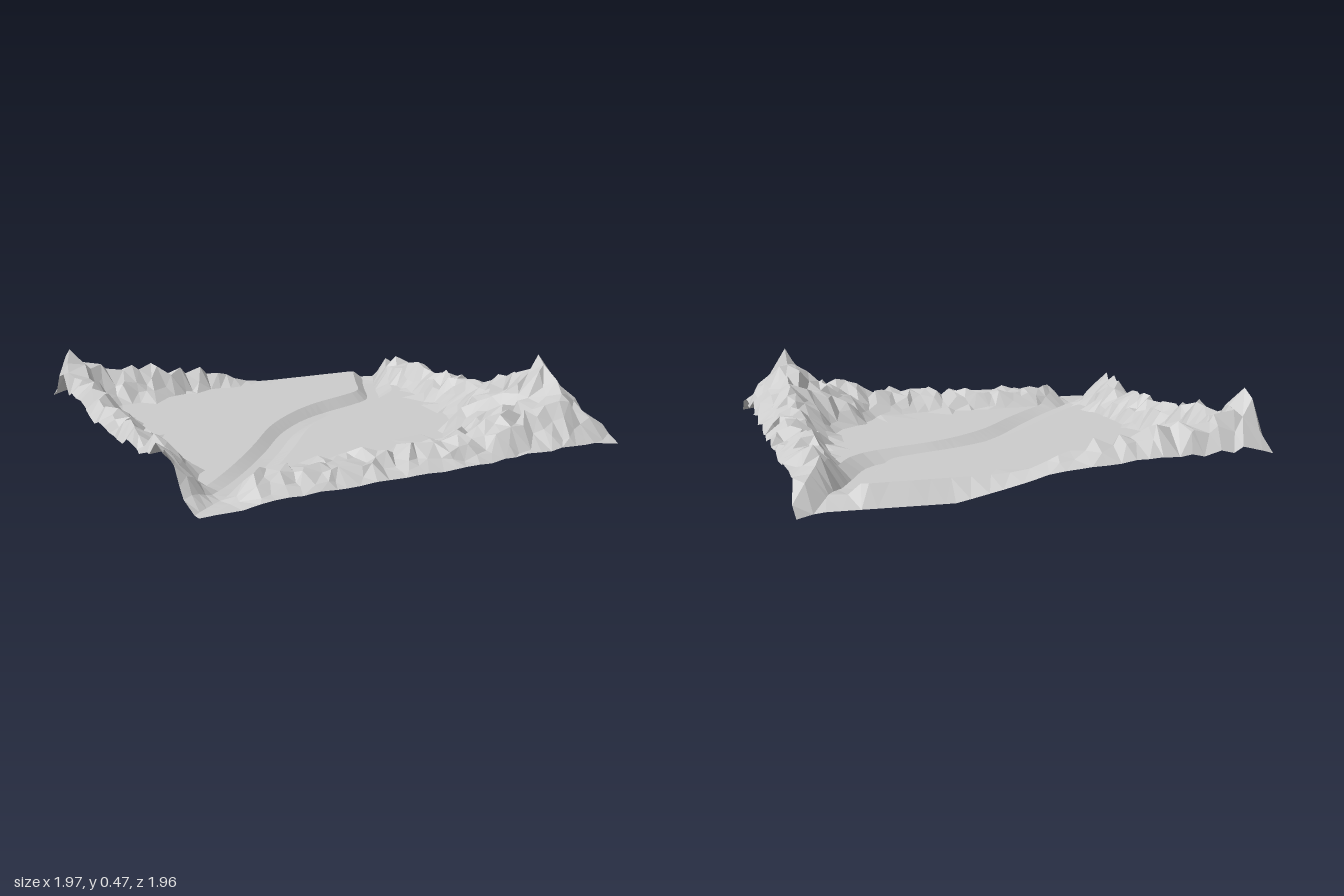
import * as THREE from 'three';

const X0 = -0.97, X1 = 0.985, Z0 = -0.985, Z1 = 0.975;

let seed = 7;
const rand = () => {
  seed = (seed * 16807) % 2147483647;
  return seed / 2147483647;
};
const jitter = (a) => (rand() * 2 - 1) * a;
const clamp01 = (t) => Math.min(1, Math.max(0, t));

// Linear interpolation through [position, value] pairs
function table(pairs, t) {
  if (t <= pairs[0][0]) return pairs[0][1];
  for (let i = 1; i < pairs.length; i++) {
    const [a, va] = pairs[i - 1], [b, vb] = pairs[i];
    if (t <= b) return va + ((vb - va) * (t - a)) / (b - a);
  }
  return pairs[pairs.length - 1][1];
}

// Upper river bank, from the back right corner to the front left one
const bank = new THREE.CatmullRomCurve3([
  [0.82, -1.0], [0.78, -0.92], [0.71, -0.8], [0.62, -0.62], [0.53, -0.45], [0.4, -0.38], [0.2, -0.3],
  [0.03, -0.2], [-0.18, -0.02], [-0.4, 0.25], [-0.6, 0.48], [-0.8, 0.68], [-1.0, 0.84],
].map(([x, z]) => new THREE.Vector3(x, 0, z)));
const bankSamples = Array.from({ length: 161 }, (_, i) => {
  const p = bank.getPointAt(i / 160), t = bank.getTangentAt(i / 160);
  return { x: p.x, z: p.z, nx: t.z, nz: -t.x };
});

// Signed distance from the upper bank, positive towards the front right
function riverDistance(x, z) {
  let best = Infinity, d = 0;
  for (const s of bankSamples) {
    const dx = x - s.x, dz = z - s.z, q = dx * dx + dz * dz;
    if (q < best) {
      best = q;
      d = Math.sign(dx * s.nx + dz * s.nz) * Math.sqrt(q);
    }
  }
  return d;
}
const riverLines = [-0.025, 0.025, 0.085, 0.155];
const riverBed = [[-0.97, 0.1], [-0.82, 0.094], [-0.7, 0.086], [-0.4, 0.075], [0, 0.066], [0.2, 0.058], [0.9, 0.053]];

// Mountain rim on each side: crest height, crest inset, foot width, edge share
const rims = [
  { // left
    along: (x, z) => z, inset: (x) => x - X0, edge: 0.5,
    crest: [[-0.5, 0.06], [0.3, 0.05], [0.48, 0]],
    height: [[-0.98, 0.13], [-0.84, 0.37], [-0.7, 0.26], [-0.5, 0.3], [-0.3, 0.23], [0, 0.22], [0.3, 0.24],
      [0.5, 0.28], [0.65, 0.27], [0.78, 0.2], [0.87, 0.105]],
    width: [[-0.8, 0.22], [0.4, 0.19], [0.55, 0.15], [0.8, 0.12]],
  },
  { // back
    along: (x) => x, inset: (x, z) => z - Z0, crest: [[0, 0.1]], edge: 0.25,
    height: [[-0.97, 0.22], [-0.92, 0.36], [-0.75, 0.27], [-0.5, 0.26], [-0.3, 0.22], [-0.1, 0.17], [0.05, 0.12], [0.2, 0.1]],
    width: [[-0.9, 0.24], [-0.5, 0.21], [-0.2, 0.14], [0.1, 0.11]],
  },
  { // right
    along: (x, z) => z, inset: (x) => X1 - x, edge: 0.45,
    crest: [[0.2, 0.13], [0.6, 0.18]],
    height: [[-0.98, 0.05], [-0.85, 0.18], [-0.6, 0.21], [-0.4, 0.21], [0, 0.23], [0.2, 0.26], [0.4, 0.32],
      [0.64, 0.37], [0.8, 0.33], [0.98, 0.13]],
    width: [[-0.8, 0.2], [-0.2, 0.25], [0.2, 0.34], [0.33, 0.38], [0.4, 0.53], [0.6, 0.62]],
  },
  { // front
    along: (x) => x, inset: (x, z) => Z1 - z, crest: [[0, 0.16]], edge: 0.2,
    height: [[-0.8, 0.1], [-0.7, 0.19], [-0.4, 0.21], [0, 0.2], [0.3, 0.23], [0.5, 0.26], [0.8, 0.33], [0.98, 0.14]],
    width: [[-0.8, 0.22], [-0.4, 0.31], [0.1, 0.29], [0.3, 0.36], [0.5, 0.46]],
  },
];

// Summits: x, z, added height, radius
const summits = [[0.8, 0.64, 0.075, 0.17], [-0.92, -0.84, 0.04, 0.1], [-0.9, -0.5, 0.03, 0.09]];

function rimHeight(x, z) {
  let top = 0;
  for (const r of rims) {
    const t = r.along(x, z), u = Math.max(0, r.inset(x, z));
    const h = table(r.height, t) - 0.105, w = table(r.width, t), crest = table(r.crest, t);
    const share = u < crest
      ? r.edge + (1 - r.edge) * (u / crest)
      : clamp01(1 - (u - crest) / (w - crest)) ** 0.72;
    top = Math.max(top, h * share);
  }
  for (const [sx, sz, h, radius] of summits) top += h * clamp01(1 - Math.hypot(x - sx, z - sz) / radius);
  return top;
}

// True on the rim and just past its foot
const nearRim = (x, z) => rimHeight(x, z) + rimHeight(x * 1.06, z * 1.06) > 0.003;

function groundHeight(x, z) {
  const d = riverDistance(x, z);
  const plain = 0.104 - 0.004 * x;
  const wet = table([[-0.025, 0], [0.025, 1], [0.085, 1], [0.155, 0]], d);
  const pass = table([[0.02, 0], [0.08, 1], [0.155, 0]], d);
  const rim = rimHeight(x, z) * (1 - 0.85 * pass);
  let y = plain + (table(riverBed, x) - plain) * wet + rim;
  y += jitter(0.031) * clamp01((rim - 0.012) / 0.07);
  // Sagging lip along the right half of the back edge
  const lip = table([[0.9, 0.02], [0.98, 0]], x);
  const sag = clamp01(x / 0.38) * clamp01(1 - (z - Z0) / 0.09);
  return y + (lip - y) * sag;
}

// Scattered ground points: edges, lip, summits, river lines, dense rim, sparse plain
function groundPoints() {
  const pts = summits.map(([x, z]) => [x, z]);
  const n = 32;
  for (let i = 0; i < n; i++) {
    const t = (i + (i ? jitter(0.25) : 0)) / n;
    const x = X0 + (X1 - X0) * t, z = Z0 + (Z1 - Z0) * t;
    pts.push([x, Z0], [X1, z], [X0 + X1 - x, Z1], [X0, Z0 + Z1 - z]);
  }
  for (let x = 0.06; x < 0.95; x += 0.08) pts.push([x, Z0 + 0.092 + jitter(0.002)]);
  const inside = (x, z) => x > X0 + 0.022 && x < X1 - 0.022 && z > Z0 + (x > 0 ? 0.1 : 0.03) && z < Z1 - 0.022;
  for (let i = 0; i < bankSamples.length; i += 3) {
    const s = bankSamples[i];
    for (const o of riverLines) {
      const x = s.x + s.nx * o, z = s.z + s.nz * o;
      if (inside(x, z)) pts.push([x, z]);
    }
  }
  const scatter = (step, wanted) => {
    for (let a = X0 + step * 0.8; a < X1; a += step) {
      for (let b = Z0 + step * 0.8; b < Z1; b += step) {
        const x = a + jitter(step * 0.38), z = b + jitter(step * 0.38);
        const d = riverDistance(x, z);
        if (inside(x, z) && (d < -0.05 || d > 0.18) && wanted(x, z)) pts.push([x, z]);
      }
    }
  };
  scatter(0.054, nearRim);
  scatter(0.16, (x, z) => !nearRim(x, z));
  return pts;
}

// Delaunay triangulation by adding one point at a time
function triangulate(points) {
  const n = points.length;
  const p = [...points, [-100, -90], [100, -90], [0, 110]];
  const make = (a, b, c) => {
    const [ax, ay] = p[a], bx = p[b][0] - ax, by = p[b][1] - ay, cx = p[c][0] - ax, cy = p[c][1] - ay;
    const k = 2 * (bx * cy - by * cx) || 1e-14, bb = bx * bx + by * by, cc = cx * cx + cy * cy;
    const ux = (cy * bb - by * cc) / k, uy = (bx * cc - cx * bb) / k;
    return { v: [a, b, c], x: ax + ux, y: ay + uy, r: ux * ux + uy * uy, area: k / 4 };
  };
  let tris = [make(n, n + 1, n + 2)];
  for (let i = 0; i < n; i++) {
    const edges = new Map(), keep = [];
    for (const t of tris) {
      if ((p[i][0] - t.x) ** 2 + (p[i][1] - t.y) ** 2 >= t.r) { keep.push(t); continue; }
      for (let e = 0; e < 3; e++) {
        const a = t.v[e], b = t.v[(e + 1) % 3];
        if (!edges.delete(`${b},${a}`)) edges.set(`${a},${b}`, [a, b]);
      }
    }
    for (const [a, b] of edges.values()) keep.push(make(a, b, i));
    tris = keep;
  }
  return tris.filter((t) => Math.max(...t.v) < n && Math.abs(t.area) > 1e-6)
    .flatMap(({ v: [a, b, c], area }) => (area > 0 ? [a, c, b] : [a, b, c]));
}

export function createModel() {
  const group = new THREE.Group();
  group.name = 'valley';

  // Thin ground sheet with rim, plain and river channel; the back edge slants slightly
  const points = groundPoints();
  const index = triangulate(points);
  const positions = points.flatMap(([x, z]) => {
    const y = Math.max(0, groundHeight(x, z));
    const rough = x === X0 || x === X1 ? jitter(0.01) : 0;
    const slant = z === Z0 ? 0.032 * clamp01((x + 0.1) / 1.1) : 0;
    return [x + rough, y, z + slant];
  });
  const geometry = new THREE.BufferGeometry();
  geometry.setAttribute('position', new THREE.Float32BufferAttribute(positions, 3));
  geometry.setIndex(index);
  geometry.computeVertexNormals();
  const terrain = new THREE.Mesh(geometry, new THREE.MeshStandardMaterial({
    color: 0xcccccc, flatShading: true, side: THREE.DoubleSide,
  }));
  terrain.name = 'terrain';
  group.add(terrain);

  // Rounded boulder beneath the corner hills
  const boulder = new THREE.Mesh(
    new THREE.SphereGeometry(1, 12, 8),
    new THREE.MeshStandardMaterial({ color: 0xcccccc }),
  );
  boulder.name = 'boulder';
  boulder.scale.set(0.045, 0.024, 0.045);
  boulder.position.set(0.54, 0.122, 0.44);
  group.add(boulder);
  return group;
}
